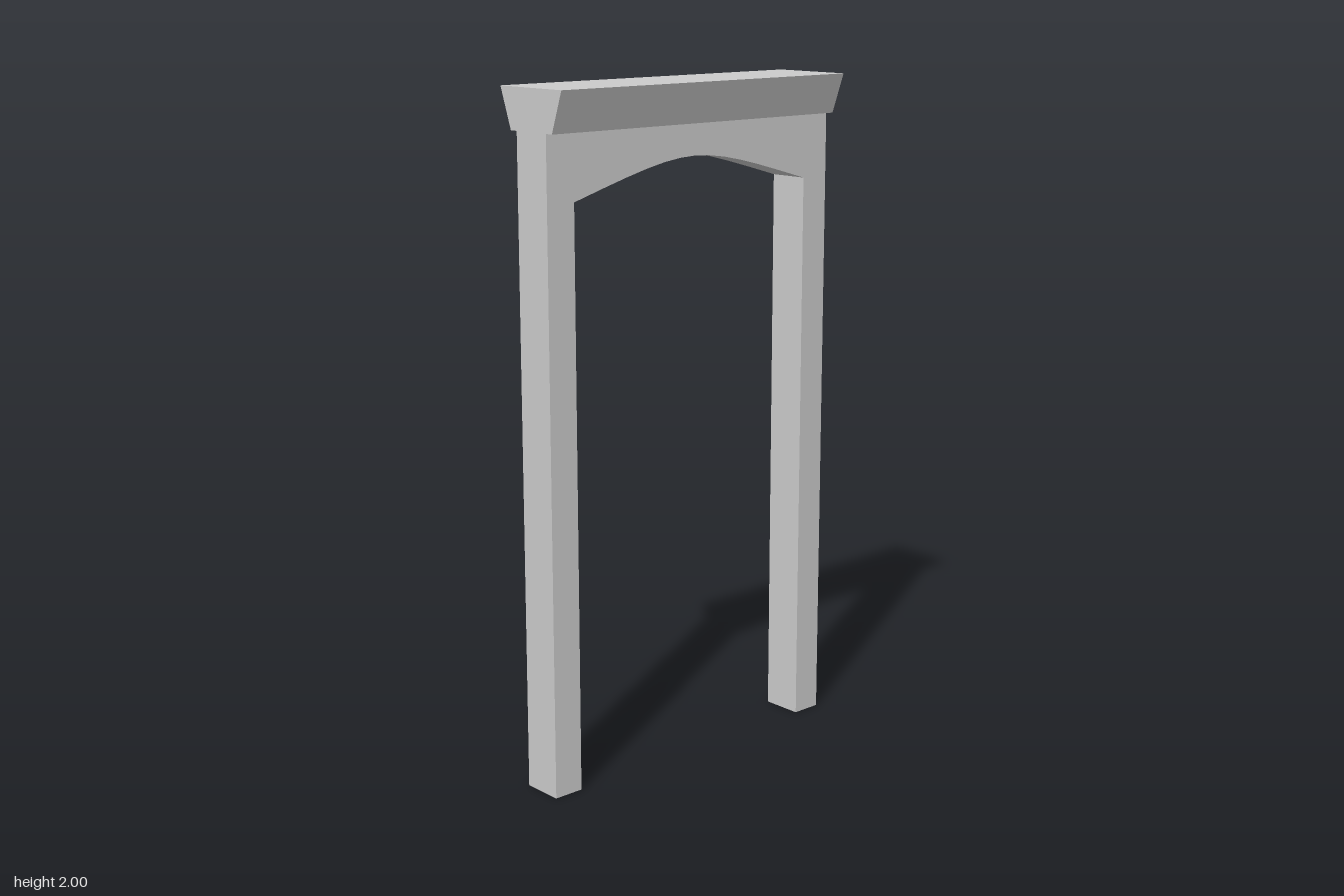
import * as THREE from 'three';

const HALF_W = 0.533;
const LEG_IN = 0.44;
const CAP_Y = 1.883;

// Extrude a shape and centre it along its extrusion axis
function extrude(name, shape, depth, material) {
  const geometry = new THREE.ExtrudeGeometry(shape, { depth, bevelEnabled: false, curveSegments: 12 });
  geometry.translate(0, 0, -depth / 2);
  const mesh = new THREE.Mesh(geometry, material);
  mesh.name = name;
  return mesh;
}

export function createModel() {
  const group = new THREE.Group();
  group.name = 'archway';
  const material = new THREE.MeshStandardMaterial({ color: 0xcccccc, flatShading: true });

  // Two legs joined by a shallow arch
  const frame = new THREE.Shape();
  frame.moveTo(-HALF_W, 0);
  frame.lineTo(-LEG_IN, 0);
  frame.lineTo(-LEG_IN, 1.695);
  frame.bezierCurveTo(0, 1.822, 0, 1.822, LEG_IN, 1.695);
  frame.lineTo(LEG_IN, 0);
  frame.lineTo(HALF_W, 0);
  frame.lineTo(HALF_W, CAP_Y);
  frame.lineTo(-HALF_W, CAP_Y);
  frame.closePath();
  group.add(extrude('archFrame', frame, 0.125, material));

  // Flared cap beam running along the top
  const profile = new THREE.Shape();
  profile.moveTo(-0.088, CAP_Y);
  profile.lineTo(0.088, CAP_Y);
  profile.lineTo(0.13, 2);
  profile.lineTo(-0.13, 2);
  profile.closePath();
  const cap = extrude('capBeam', profile, HALF_W * 2, material);
  cap.rotation.y = Math.PI / 2;
  group.add(cap);

  return group;
}
